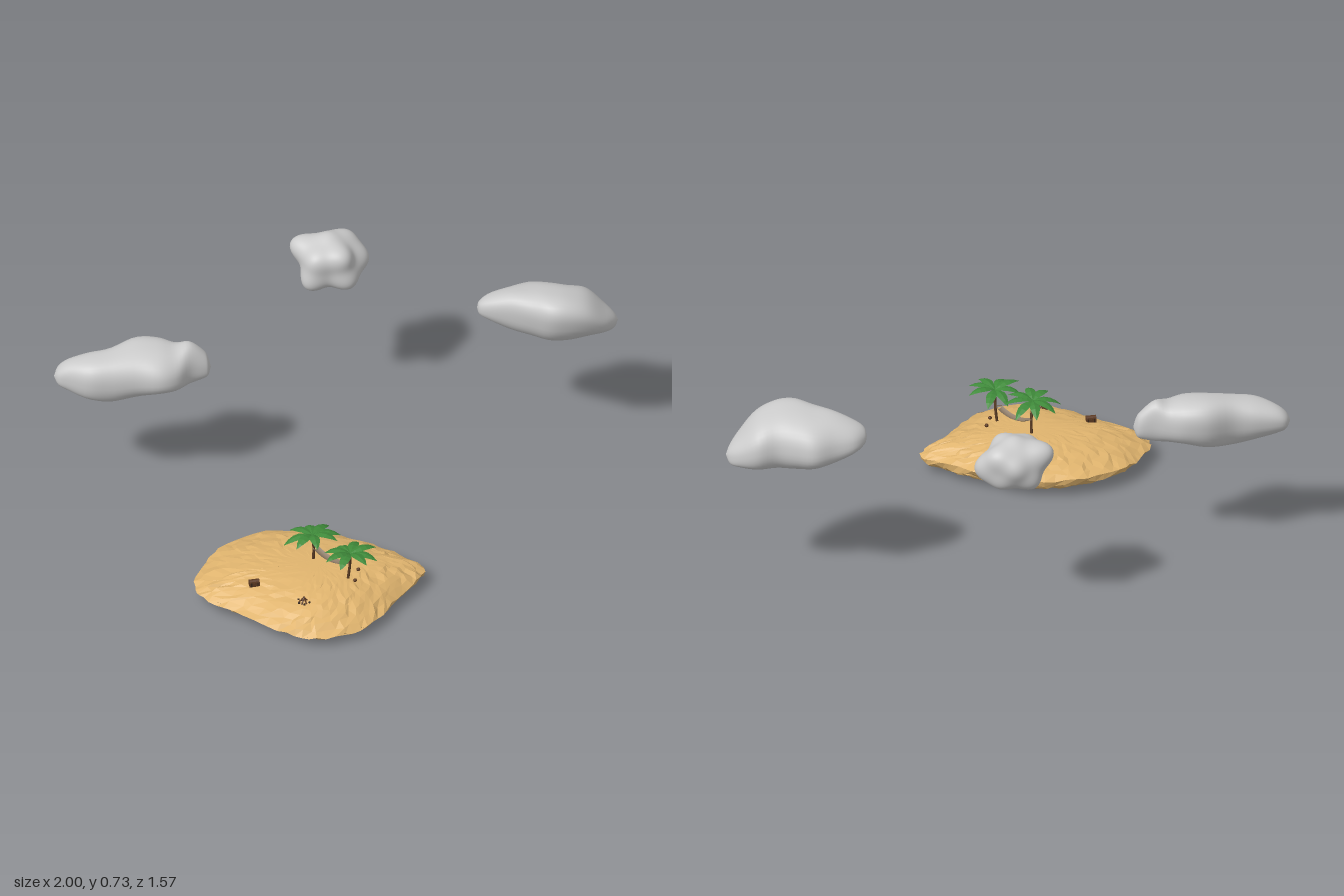
import * as THREE from 'three';
import { mergeVertices } from 'three/addons/utils/BufferGeometryUtils.js';

const V = (x, y, z) => new THREE.Vector3(x, y, z);
const mat = (color, extra = {}) => new THREE.MeshStandardMaterial({ color, ...extra });

// Seeded noise in -1..1
let seed = 7;
const rand = () => {
  seed = (seed * 16807) % 2147483647;
  return (seed / 2147483647) * 2 - 1;
};

// Surface through rows x cols points; columns wrap round when closed
function grid(rows, cols, closed, pointAt) {
  const pos = [], index = [];
  for (let i = 0; i < rows; i++)
    for (let j = 0; j < cols; j++) pos.push(...pointAt(i, j).toArray());
  for (let i = 0; i < rows - 1; i++)
    for (let j = 0; j < (closed ? cols : cols - 1); j++) {
      const k = (j + 1) % cols;
      const a = i * cols + j, b = i * cols + k, c = a + cols, d = b + cols;
      index.push(a, b, d, a, d, c);
    }
  const g = new THREE.BufferGeometry();
  g.setAttribute('position', new THREE.Float32BufferAttribute(pos, 3));
  g.setIndex(index);
  g.computeVertexNormals();
  return g;
}

function add(parent, name, geometry, material, position) {
  const mesh = new THREE.Mesh(geometry, material);
  mesh.name = name;
  if (position) mesh.position.copy(position);
  parent.add(mesh);
  return mesh;
}

// Sandy island: domed top, ragged sloping rim, hollow underside
const CX = -0.11, CZ = 0.45;
function islandGeometry() {
  const outline = new THREE.CatmullRomCurve3([
    [-0.543, 0.465], [-0.505, 0.345], [-0.435, 0.255], [-0.315, 0.188], [-0.155, 0.17], [-0.045, 0.195],
    [0.11, 0.272], [0.2, 0.34], [0.274, 0.395], [0.255, 0.455], [0.18, 0.55], [0.1, 0.67],
    [0.01, 0.748], [-0.13, 0.78], [-0.24, 0.738], [-0.4, 0.622], [-0.51, 0.535],
  ].map(([x, z]) => V(x, 0, z)), true);
  const TOP = 15, SEG = 72;
  // [fraction of outline, height] below the dome
  const under = [[0.985, 0.051], [0.95, 0.041], [0.9, 0.031], [0.85, 0.02], [0.79, 0.012], [0.73, 0.024], [0.67, 0.047], [0.5, 0.07], [0.3, 0.082], [0, 0.088]];
  return grid(TOP + under.length, SEG, true, (i, j) => {
    const dome = i < TOP;
    const t = dome ? i / (TOP - 1) : under[i - TOP][0];
    const inner = t > 0 && t < 0.96;
    const p = outline.getPoint((j + (inner ? rand() * 0.4 : 0)) / SEG);
    const s = t === 0 ? 0 : t + rand() * (inner ? 0.022 : 0.014);
    const x = CX + (p.x - CX) * s, z = CZ + (p.z - CZ) * s;
    let y = dome
      ? 0.06 + 0.072 * (1 - t ** 3) - 0.055 * (z - CZ) * t
      : under[i - TOP][1] - 0.014 * (x - CX) - 0.02 * (z - CZ);
    y += rand() * (dome ? 0.0055 : 0.0075) * t * t;
    return V(x, Math.max(0, y), z);
  });
}

// Long cloud lofted along x through [x, bottom, top, back, front], with full, rounded-off sections
function longCloud(sections, skew) {
  const spline = (f) => new THREE.CatmullRomCurve3(sections.map(f), false, 'catmullrom', 0.5);
  const ys = spline(([x, lo, hi]) => V(x, lo, hi));
  const zs = spline(([x, , , b, f]) => V(x, b, f));
  const full = (v) => Math.sign(v) * Math.abs(v) ** 0.86;
  const ROWS = 44, COLS = 40;
  return grid(ROWS, COLS, true, (i, j) => {
    const u = i / (ROWS - 1), a = (-j / COLS) * Math.PI * 2;
    const y = ys.getPoint(u), z = zs.getPoint(u);
    const lump = 1 + 0.04 * Math.sin(3 * a + y.x * 8);
    return V(y.x,
      (y.y + y.z) / 2 + ((y.z - y.y) / 2) * full(Math.sin(a + skew)) * lump,
      (z.y + z.z) / 2 + ((z.z - z.y) / 2) * full(Math.cos(a)) * lump);
  });
}

// Round cloud: a ball pushed out towards a few lobes
function lobedCloud(lobes) {
  const dirs = lobes.map((l) => V(...l));
  let g = new THREE.IcosahedronGeometry(1, 16);
  g.deleteAttribute('uv');
  g.deleteAttribute('normal');
  g = mergeVertices(g);
  const p = g.attributes.position, v = V(0, 0, 0);
  for (let i = 0; i < p.count; i++) {
    v.fromBufferAttribute(p, i).normalize();
    let r = 0.082;
    for (const d of dirs) {
      const len = d.length();
      r += (len - 0.08) * Math.exp(-8 * (1 - v.dot(d) / len));
    }
    v.multiplyScalar(r);
    p.setXYZ(i, v.x, v.y, v.z);
  }
  g.computeVertexNormals();
  return g;
}

// Folded palm leaf growing along +x
function frondGeometry(length) {
  const widths = [0.003, 0.012, 0.018, 0.017, 0.011, 0];
  return grid(widths.length, 3, false, (i, j) => {
    const u = i / (widths.length - 1), side = j - 1;
    return V(u * length, 0.02 * Math.sin(u * 2.2) - 0.03 * u * u - Math.abs(side) * widths[i] * 0.25, side * widths[i]);
  });
}

function palm(base, top, length, turn) {
  const tree = new THREE.Group();
  tree.name = 'palmTree';
  const bend = base.clone().lerp(top, 0.5).add(V(0.003, 0, -0.004));
  const curve = new THREE.CatmullRomCurve3([base, bend, top]);
  add(tree, 'trunk', new THREE.TubeGeometry(curve, 8, 0.005, 7), mat(0x5a3c24, { flatShading: true }));
  const green = mat(0x3f8a3a, { side: THREE.DoubleSide, flatShading: true });
  for (let i = 0; i < 8; i++) {
    const frond = add(tree, 'frond', frondGeometry(length * (1 + 0.12 * rand())), green, top);
    frond.rotation.set(0, turn + (i / 8) * Math.PI * 2 + rand() * 0.15, rand() * 0.2, 'YXZ');
  }
  return tree;
}

export function createModel() {
  const model = new THREE.Group();
  model.name = 'islandWithClouds';
  add(model, 'island', islandGeometry(), mat(0xe0b46e, { flatShading: true }));

  // Clouds
  const grey = mat(0xcccccc);
  add(model, 'rightCloud', longCloud([
    [-1, 0.51, 0.51, -0.2, -0.2], [-0.985, 0.48, 0.54, -0.235, -0.175], [-0.95, 0.462, 0.567, -0.25, -0.155],
    [-0.88, 0.438, 0.592, -0.26, -0.118], [-0.8, 0.422, 0.605, -0.267, -0.115], [-0.71, 0.43, 0.62, -0.31, -0.115],
    [-0.63, 0.447, 0.615, -0.312, -0.104], [-0.57, 0.452, 0.602, -0.29, -0.125], [-0.52, 0.455, 0.61, -0.272, -0.172],
    [-0.47, 0.468, 0.57, -0.264, -0.195], [-0.455, 0.48, 0.545, -0.25, -0.205], [-0.445, 0.51, 0.51, -0.228, -0.228],
  ], -0.1), grey);
  add(model, 'leftCloud', longCloud([
    [0.503, 0.6, 0.6, -0.405, -0.405], [0.512, 0.575, 0.628, -0.43, -0.375], [0.55, 0.55, 0.652, -0.465, -0.35],
    [0.62, 0.517, 0.678, -0.487, -0.32], [0.69, 0.5, 0.69, -0.512, -0.285], [0.755, 0.492, 0.7, -0.495, -0.252],
    [0.82, 0.492, 0.695, -0.475, -0.253], [0.89, 0.495, 0.667, -0.482, -0.275], [0.95, 0.5, 0.605, -0.455, -0.315],
    [0.985, 0.506, 0.565, -0.425, -0.36], [1, 0.535, 0.535, -0.395, -0.395],
  ], 0.27), grey);
  add(model, 'backCloud', lobedCloud([
    [-0.13, 0.05, -0.02], [0, 0.093, 0], [0.135, -0.02, -0.01], [0, 0.01, -0.098], [0.075, -0.075, 0.085],
    [-0.08, -0.075, 0.085], [0.055, 0.05, 0.092], [-0.07, -0.07, -0.06], [0.08, 0.055, -0.06],
    [0.06, -0.07, -0.055], [-0.06, 0.04, 0.092],
  ]), grey, V(-0.005, 0.64, -0.685));

  // Palm trees
  model.add(palm(V(-0.12, 0.12, 0.42), V(-0.125, 0.252, 0.442), 0.104, 0.2));
  model.add(palm(V(-0.005, 0.11, 0.53), V(0.003, 0.24, 0.547), 0.1, 0.5));

  // Hammock slung between the trunks, with ropes at each end
  const start = V(-0.12, 0.185, 0.42), end = V(-0.003, 0.185, 0.53);
  const across = end.clone().sub(start).cross(V(0, 1, 0)).normalize();
  const sag = (u) => start.clone().lerp(end, u).add(V(0, -0.1 * u * (1 - u), 0));
  const hammock = new THREE.Group();
  hammock.name = 'hammock';
  model.add(hammock);
  const cloth = mat(0x8c7a66, { side: THREE.DoubleSide });
  add(hammock, 'cloth', grid(13, 5, false, (i, j) => {
    const u = 0.08 + (0.84 * i) / 12, w = (j - 2) / 2;
    return sag(u).addScaledVector(across, w * 0.014).add(V(0, 0.006 * w * w, 0));
  }), cloth);
  for (const [a, b] of [[0, 0.08], [1, 0.92]])
    for (const side of [-1, 1]) {
      const corner = sag(b).addScaledVector(across, side * 0.014).add(V(0, 0.006, 0));
      add(hammock, 'rope', new THREE.TubeGeometry(new THREE.LineCurve3(sag(a), corner), 1, 0.0015, 5), cloth);
    }

  // Chest with a rounded lid
  const wood = mat(0x5c3a22, { flatShading: true }), dark = mat(0x38281c, { flatShading: true });
  const chest = new THREE.Group();
  chest.name = 'chest';
  add(chest, 'chestBody', new THREE.BoxGeometry(0.036, 0.016, 0.022), wood);
  const lid = add(chest, 'chestLid', new THREE.CylinderGeometry(0.011, 0.011, 0.036, 10), wood, V(0, 0.006, 0));
  lid.rotation.z = Math.PI / 2;
  for (const x of [-0.011, 0.011]) add(chest, 'chestBand', new THREE.BoxGeometry(0.004, 0.017, 0.024), dark, V(x, 0, 0));
  chest.position.set(-0.335, 0.115, 0.535);
  chest.rotation.y = 0.15;
  model.add(chest);

  // Campfire of leaning logs in a ring of stones
  const fire = new THREE.Group();
  fire.name = 'campfire';
  for (let i = 0; i < 6; i++) {
    const a = (i / 6) * Math.PI * 2;
    const log = add(fire, 'log', new THREE.CylinderGeometry(0.003, 0.003, 0.03, 6), wood, V(Math.cos(a) * 0.008, 0.006, Math.sin(a) * 0.008));
    log.rotation.set(0, -a, 0.8, 'YXZ');
    add(fire, 'stone', new THREE.IcosahedronGeometry(0.005, 0), dark, V(Math.cos(a + 0.5) * 0.021, 0, Math.sin(a + 0.5) * 0.021));
  }
  fire.position.set(-0.165, 0.106, 0.638);
  model.add(fire);

  // Coconuts near the trees
  for (const [x, y, z] of [[0.035, 0.128, 0.49], [-0.1, 0.137, 0.37], [0.02, 0.125, 0.55]])
    add(model, 'coconut', new THREE.IcosahedronGeometry(0.007, 1), wood, V(x, y, z));
  return model;
}
